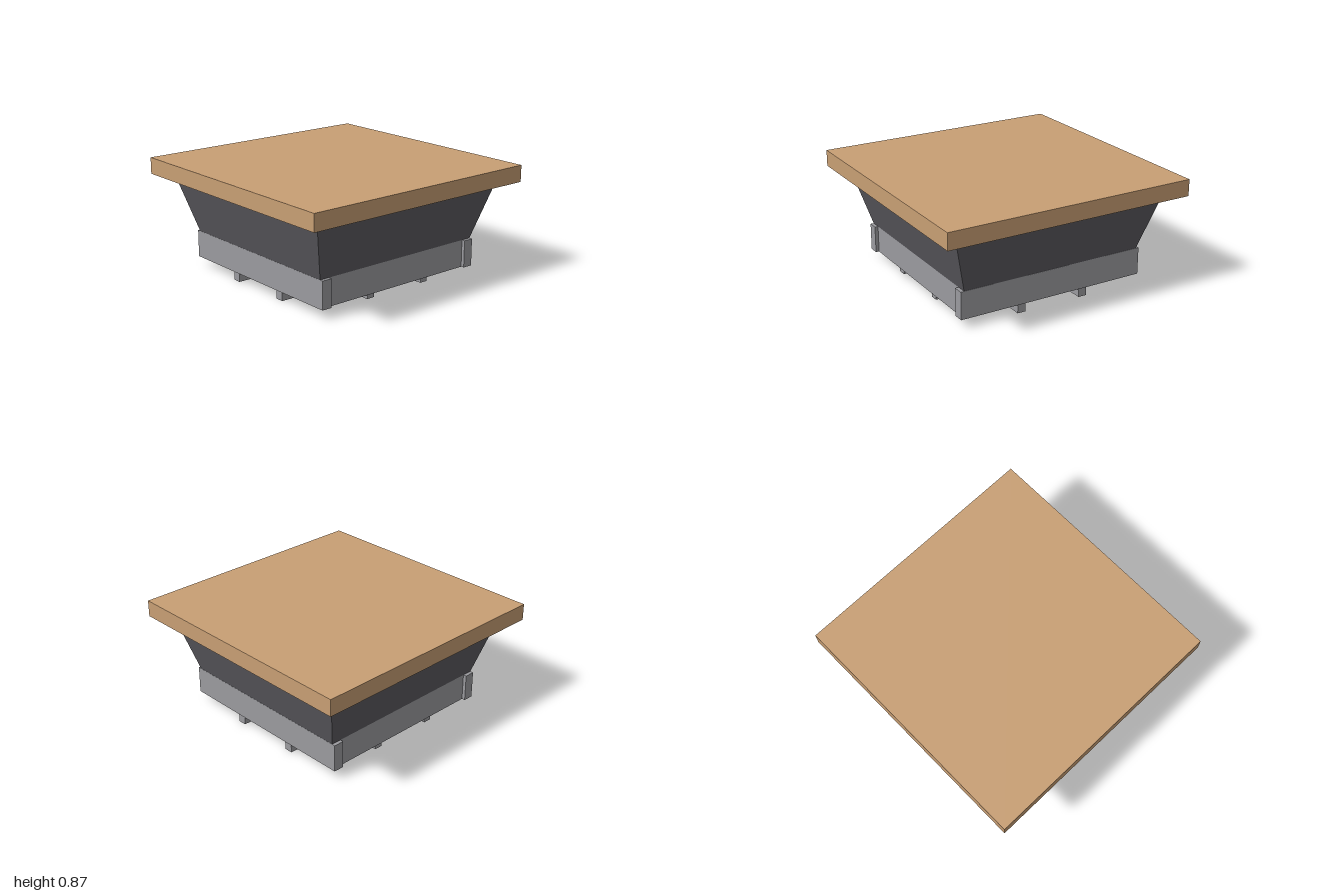
import * as THREE from 'three';

const mat = (name, color, extra = {}) => {
  const m = new THREE.MeshStandardMaterial({ color, ...extra });
  m.name = name;
  return m;
};

export function createModel() {
  const model = new THREE.Group();
  model.name = 'squareHopperTable';
  const wood = mat('wood', 0xc89f74);
  const darkGrey = mat('darkGrey', 0x5d5c61, { flatShading: true });
  const grey = mat('grey', 0x9b9b9f);
  const tan = mat('tan', 0xc6b088);

  // Box given by its lower and upper limits
  const box = (name, material, [x0, y0, z0], [x1, y1, z1]) => {
    const mesh = new THREE.Mesh(new THREE.BoxGeometry(x1 - x0, y1 - y0, z1 - z0), material);
    mesh.position.set((x0 + x1) / 2, (y0 + y1) / 2, (z0 + z1) / 2);
    mesh.name = name;
    model.add(mesh);
  };

  // Square top slab
  box('topSlab', wood, [-1, 0.738, -1], [1, 0.868, 1]);

  // Tapered square body
  const body = new THREE.Mesh(
    new THREE.CylinderGeometry(0.87 * Math.SQRT2, 0.74 * Math.SQRT2, 0.453, 4, 1)
      .rotateY(Math.PI / 4), darkGrey);
  body.position.y = 0.285 + 0.453 / 2;
  body.name = 'taperedBody';
  model.add(body);

  // Recessed floor panel inside the frame
  box('floorPanel', tan, [-0.66, 0.15, -0.66], [0.66, 0.17, 0.66]);

  for (const s of [-1, 1]) {
    // Base frame: long end boards overlap the side boards
    const e = s * 0.70;
    box(s > 0 ? 'frontBoard' : 'backBoard', grey, [-0.767, 0.07, e - 0.041], [0.767, 0.285, e + 0.041]);
    box(s > 0 ? 'leftBoard' : 'rightBoard', grey, [e - 0.04, 0.07, -0.659], [e + 0.04, 0.285, 0.659]);

    // Crossed floor bars
    const b = s * 0.265;
    box('lengthwiseBar', grey, [b - 0.033, 0, -0.732], [b + 0.033, 0.07, 0.732]);
    box('crosswiseBar', grey, [-0.732, 0.036, b - 0.033], [0.732, 0.07, b + 0.033]);

    // Corner blocks under the slab
    for (const t of [-1, 1]) {
      const x = s * 0.867, z = t * 0.867;
      box('cornerBlock', wood, [x - 0.05, 0.71, z - 0.05], [x + 0.05, 0.738, z + 0.05]);
    }
  }
  return model;
}
